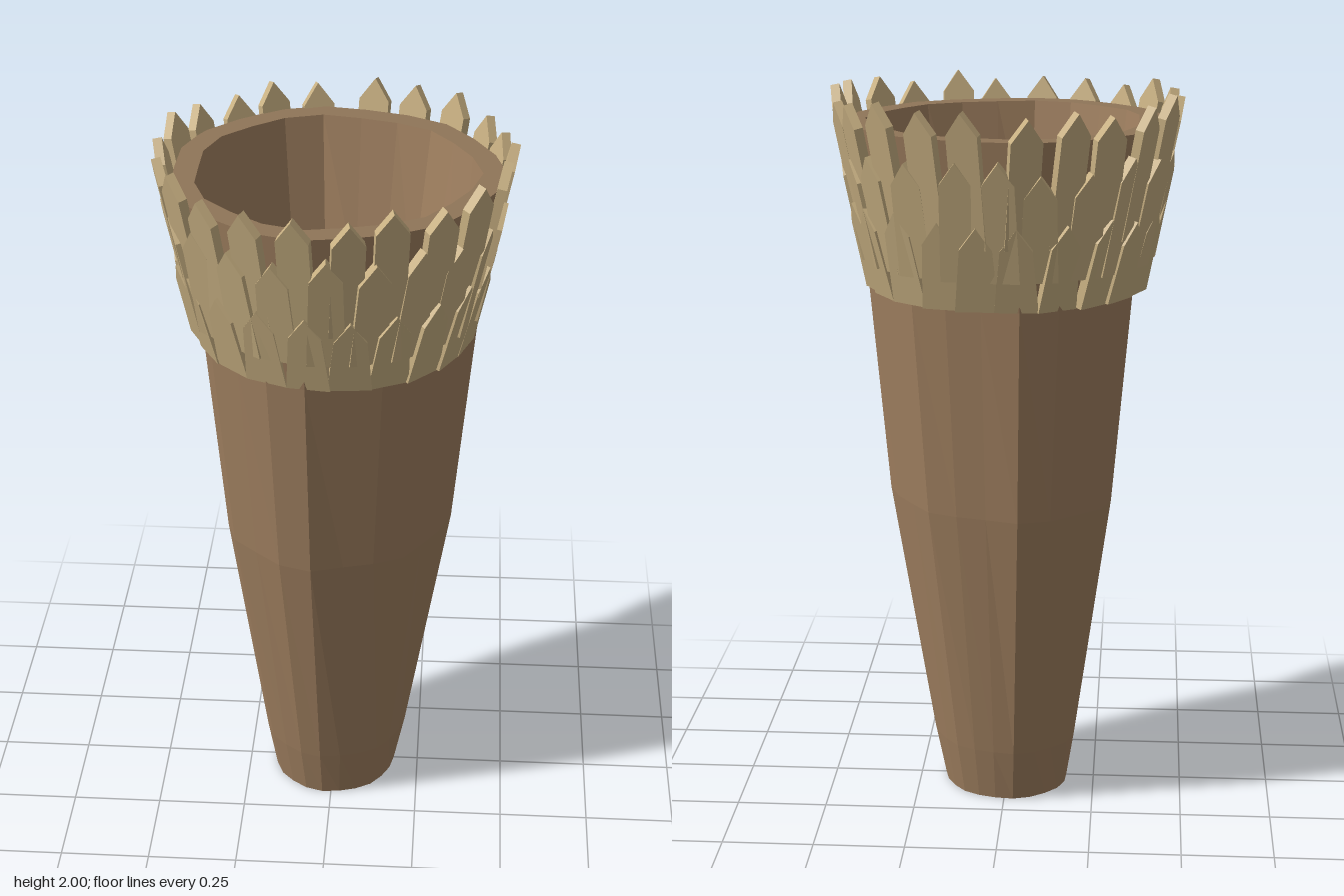
import * as THREE from 'three';

const SIDES = 22;
const barkMat = new THREE.MeshStandardMaterial({ color: 0xa08060 });
barkMat.name = 'bark brown';
const rimMat = new THREE.MeshStandardMaterial({ color: 0x8f7558 });
rimMat.name = 'rim brown';
const tanMat = new THREE.MeshStandardMaterial({ color: 0xc9b183 });
tanMat.name = 'pale tan';

// Small seeded random in -1..1
let seed = 7;
function jitter() {
  seed = (seed * 16807) % 2147483647;
  return (seed / 2147483647) * 2 - 1;
}

function facet(geo) {
  const g = geo.index ? geo.toNonIndexed() : geo;
  g.computeVertexNormals();
  return g;
}

// Revolved profile whose outline is gently lobed
function lobedLathe(profile) {
  const geo = new THREE.LatheGeometry(profile.map(([r, y]) => new THREE.Vector2(r, y)), SIDES, Math.PI / 2);
  const p = geo.attributes.position;
  for (let i = 0; i < p.count; i++) {
    const x = p.getX(i), y = p.getY(i), z = p.getZ(i);
    const r = Math.hypot(x, z);
    if (r < 0.01) continue;
    const a = Math.atan2(z, x);
    const amp = 0.002 + 0.01 * Math.sin((Math.PI * y) / 2.4);
    const k = (r + amp * (Math.cos(3 * a) + Math.cos(7 * a))) / r;
    p.setXYZ(i, x * k, y, z * k);
  }
  return facet(geo);
}

function add(parent, geo, mat, name) {
  const m = new THREE.Mesh(geo, mat);
  m.name = name;
  parent.add(m);
  return m;
}

// Pointed slat, base at the origin, its face toward +z
function slatGeometry(baseW, topW, length, tip, depth) {
  const s = new THREE.Shape();
  s.moveTo(-baseW / 2, 0);
  s.lineTo(baseW / 2, 0);
  s.lineTo(topW / 2, length - tip);
  s.lineTo(0, length);
  s.lineTo(-topW / 2, length - tip);
  s.closePath();
  const g = new THREE.ExtrudeGeometry(s, { depth, bevelEnabled: false });
  g.translate(0, 0, -depth);
  return g;
}

export function createModel() {
  const root = new THREE.Group();
  root.name = 'slattedTube';

  // Tapering body, its rim and the hollow inside
  add(root, lobedLathe([[0, 0], [0.175, 0], [0.202, 0.15], [0.307, 0.87], [0.36, 1.46], [0.433, 1.91]]), barkMat, 'outerWall');
  add(root, lobedLathe([[0.433, 1.91], [0.37, 1.91]]), rimMat, 'rim');
  add(root, lobedLathe([[0.37, 1.91], [0.305, 1.46], [0.24, 0.87], [0.08, 0.3], [0, 0.3]]), barkMat, 'innerWall');

  // Oval core resting inside
  const core = add(root, facet(new THREE.SphereGeometry(1, 20, 14)), tanMat, 'core');
  core.scale.set(0.155, 0.1, 0.12);
  core.position.set(0, 0.6, 0.03);

  // Three staggered rows of slats leaning outward
  const rows = [
    { y: 1.46, r: 0.372, len: 0.24, baseW: 0.115, topW: 0.085, lean: 0.24, shift: 0.5 },
    { y: 1.54, r: 0.39, len: 0.31, baseW: 0.1, topW: 0.085, lean: 0.21, shift: 0 },
    { y: 1.63, r: 0.405, len: 0.355, baseW: 0.085, topW: 0.085, lean: 0.2, shift: 0.4 },
  ];
  rows.forEach((row, n) => {
    const group = new THREE.Group();
    group.name = `slatRow${n + 1}`;
    for (let i = 0; i < SIDES; i++) {
      const len = row.len + 0.02 * jitter();
      const slat = add(group, slatGeometry(row.baseW, row.topW, len, 0.06, 0.025), tanMat, 'slat');
      const a = ((i + row.shift) / SIDES) * Math.PI * 2 + 0.03 * jitter();
      slat.rotation.order = 'YXZ';
      slat.rotation.set(row.lean, a + 0.2 * jitter(), 0);
      slat.position.set(Math.sin(a) * row.r, row.y, Math.cos(a) * row.r);
    }
    root.add(group);
  });

  return root;
}
